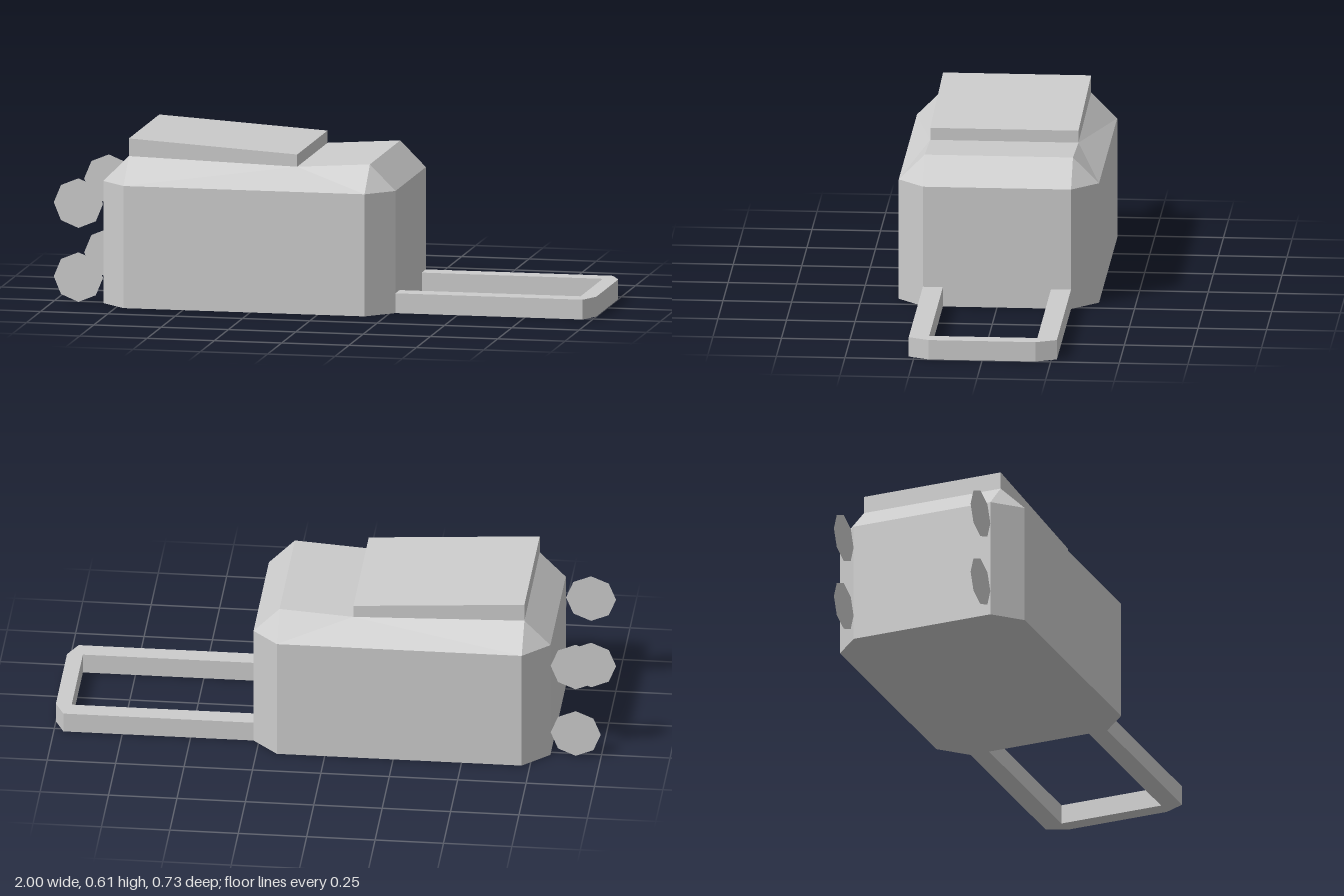
import * as THREE from 'three';

const X0 = -0.815, X1 = 0.27, Z = 0.365;            // body extents
const TX0 = -0.72, TX1 = 0.175, TZ = 0.27;          // roof extents after the bevel
const WALL = 0.45, TOP = 0.545, DIP_X = -0.095, DIP_Y = 0.527;

// Flat-sided prism from an outline in the shape plane
function prism(points, depth) {
  const shape = new THREE.Shape(points.map(([x, y]) => new THREE.Vector2(x, y)));
  return new THREE.ExtrudeGeometry(shape, { depth, bevelEnabled: false });
}

// Faceted surface from convex faces, each cut as a fan from its first point
function faceted(faces) {
  const positions = [];
  for (const f of faces) {
    for (let i = 1; i < f.length - 1; i++) positions.push(...f[0], ...f[i], ...f[i + 1]);
  }
  const geometry = new THREE.BufferGeometry();
  geometry.setAttribute('position', new THREE.Float32BufferAttribute(positions, 3));
  geometry.computeVertexNormals();
  return geometry;
}

export function createModel() {
  const group = new THREE.Group();
  group.name = 'model';
  const grey = new THREE.MeshStandardMaterial({ color: 0xcccccc, flatShading: true });
  grey.name = 'light grey';
  const greyThin = grey.clone();
  greyThin.side = THREE.DoubleSide;

  const add = (name, geometry, material = grey) => {
    const mesh = new THREE.Mesh(geometry, material);
    mesh.name = name;
    group.add(mesh);
    return mesh;
  };

  // Body walls: a box with chamfered upright corners
  add('bodyWalls', prism([
    [X0, -TZ], [TX0, -Z], [TX1, -Z], [X1, -TZ],
    [X1, TZ], [TX1, Z], [TX0, Z], [X0, TZ],
  ], WALL).rotateX(-Math.PI / 2));

  // Bevelled shoulders and dipped roof
  const side = [
    [[DIP_X, DIP_Y, TZ], [TX0, TOP, TZ], [TX0, WALL, Z], [TX1, WALL, Z], [TX1, TOP, TZ]],
    [[TX1, WALL, Z], [X1, WALL, TZ], [TX1, TOP, TZ]],
    [[X0, WALL, TZ], [TX0, WALL, Z], [TX0, TOP, TZ]],
  ];
  const mirrored = side.map(f => f.map(([x, y, z]) => [x, y, -z]).reverse());
  // keep the fan of the dipped shoulder starting at the dip
  mirrored[0].unshift(mirrored[0].pop());
  add('roof', faceted([
    ...side, ...mirrored,
    [[X1, WALL, TZ], [X1, WALL, -TZ], [TX1, TOP, -TZ], [TX1, TOP, TZ]],
    [[X0, WALL, -TZ], [X0, WALL, TZ], [TX0, TOP, TZ], [TX0, TOP, -TZ]],
    [[TX0, TOP, TZ], [DIP_X, DIP_Y, TZ], [DIP_X, DIP_Y, -TZ], [TX0, TOP, -TZ]],
    [[DIP_X, DIP_Y, TZ], [TX1, TOP, TZ], [TX1, TOP, -TZ], [DIP_X, DIP_Y, -TZ]],
  ]));

  // Sloping lid
  add('lid', prism([
    [TX0, TOP], [DIP_X, DIP_Y], [DIP_X, 0.572], [TX0, 0.61],
  ], 2 * TZ).translate(0, 0, -TZ));

  // Looped handle lying on the ground
  add('handle', prism([
    [X1, -TZ], [0.965, -TZ], [1, -0.195], [1, 0.195], [0.965, TZ], [X1, TZ],
    [X1, 0.197], [0.942, 0.197], [0.942, -0.197], [X1, -0.197],
  ], 0.073).rotateX(-Math.PI / 2));

  // Four flat octagonal discs at the other end
  for (const z of [TZ, -TZ]) {
    for (const y of [0.0925, 0.365]) {
      add('disc', new THREE.CircleGeometry(0.0915, 8), greyThin).position.set(-0.9075, y, z);
    }
  }
  return group;
}
